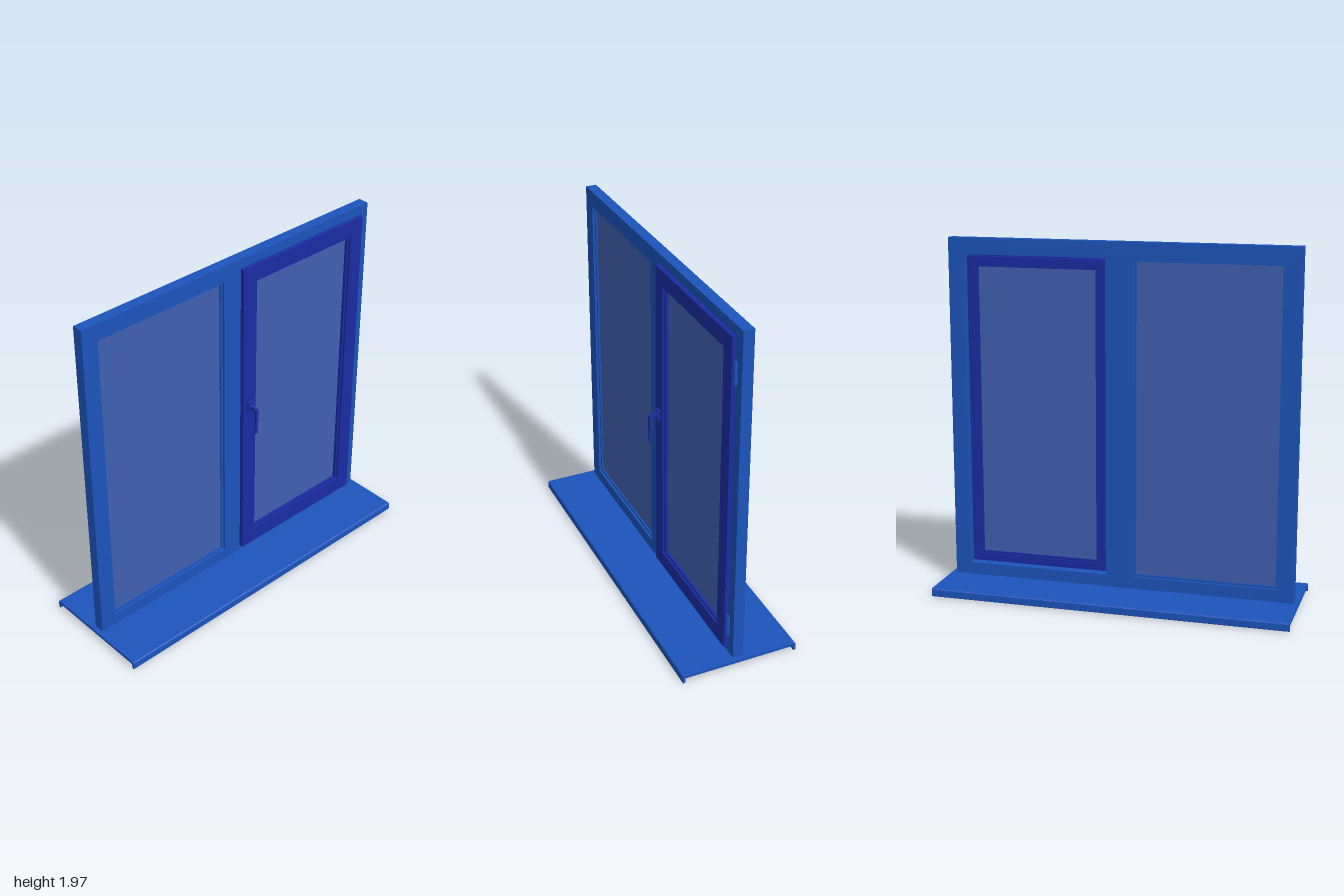
import * as THREE from 'three';

const mat = (color) => new THREE.MeshStandardMaterial({ color });
const blue = mat(0x1c54bc), navy = mat(0x1a2ca2), glassBlue = mat(0x4060b0);

function add(parent, name, geometry, material, x = 0, y = 0, z = 0) {
  const mesh = new THREE.Mesh(geometry, material);
  mesh.name = name;
  mesh.position.set(x, y, z);
  parent.add(mesh);
  return mesh;
}

// Corners of a rectangle [u0, y0, u1, y1], where u runs along -z
const corners = ([u0, y0, u1, y1]) =>
  [[u0, y0], [u1, y0], [u1, y1], [u0, y1]].map(([u, y]) => new THREE.Vector2(u, y));

const inset = ([u0, y0, u1, y1], d) => [u0 + d, y0 + d, u1 - d, y1 - d];

// Upright slab between x0 and x1 with rectangular openings
function slab(outer, holes, x0, x1) {
  const shape = new THREE.Shape(corners(outer));
  holes.forEach((h) => shape.holes.push(new THREE.Path(corners(h).reverse())));
  const g = new THREE.ExtrudeGeometry(shape, { depth: x1 - x0, bevelEnabled: false });
  return g.translate(0, 0, x0).rotateY(Math.PI / 2);
}

export function createModel() {
  const model = new THREE.Group();
  model.name = 'window';

  // Outer frame with a fixed and an opening light
  const fixedHole = [-0.885, 0.115, -0.075, 1.875];
  const sashHole = [0.08, 0.115, 0.885, 1.875];
  add(model, 'frame', slab([-0.973, 0.045, 0.972, 1.965], [fixedHole, sashHole], -0.03, 0.03), blue);

  // Fixed light: glazing bead and pane
  const fixedGlass = inset(fixedHole, 0.014);
  add(model, 'fixedBead', slab(fixedHole, [fixedGlass], -0.015, 0.017), blue);
  add(model, 'fixedGlass', slab(fixedGlass, [], -0.008, 0.008), glassBlue);

  // Opening sash: overlapping face, body within the frame, bead and pane
  const sash = new THREE.Group();
  sash.name = 'sash';
  model.add(sash);
  const sashOpening = [0.13, 0.17, 0.825, 1.82];
  const sashGlass = inset(sashOpening, 0.013);
  add(sash, 'sashFace', slab([0.04, 0.08, 0.911, 1.91], [sashOpening], 0.03, 0.054), navy);
  add(sash, 'sashBody', slab(inset(sashHole, 0.012), [sashOpening], -0.01, 0.03), navy);
  add(sash, 'sashBead', slab(sashOpening, [sashGlass], 0, 0.042), navy);
  add(sash, 'sashGlass', slab(sashGlass, [], 0.01, 0.026), glassBlue);

  // Hinges on the outer edge of the sash
  for (const y of [0.228, 1.722]) {
    const hinge = new THREE.Group();
    hinge.name = 'hinge';
    hinge.position.set(0.038, y, -0.921);
    model.add(hinge);
    add(hinge, 'hingeBarrel', new THREE.CylinderGeometry(0.01, 0.01, 0.115, 16), blue);
    add(hinge, 'hingePin', new THREE.CylinderGeometry(0.006, 0.006, 0.13, 12), blue);
  }

  // Handle: rose, sloping neck and hanging lever
  const handle = new THREE.Group();
  handle.name = 'handle';
  handle.position.z = -0.086;
  sash.add(handle);
  add(handle, 'rose', new THREE.BoxGeometry(0.014, 0.056, 0.034), navy, 0.061, 1.057);
  const side = new THREE.Shape([
    [0.066, 1.072], [0.066, 1.048], [0.105, 1.04], [0.105, 0.9], [0.114, 0.903], [0.115, 1.058],
  ].map(([x, y]) => new THREE.Vector2(x, y)).reverse());
  const lever = new THREE.ExtrudeGeometry(side, { depth: 0.018, bevelEnabled: false });
  add(handle, 'lever', lever.translate(0, 0, -0.009), navy);

  // Inner and outer sills with rounded, turned-down edges
  for (const s of [1, -1]) {
    const p = new THREE.Shape();
    p.moveTo(0, 0.03);
    p.lineTo(0.315, 0.03);
    p.lineTo(0.315, 0.004);
    p.quadraticCurveTo(0.3225, -0.004, 0.33, 0.004);
    p.lineTo(0.33, 0.035);
    p.quadraticCurveTo(0.33, 0.047, 0.318, 0.047);
    p.lineTo(0, 0.047);
    const g = new THREE.ExtrudeGeometry(p, { depth: 2, bevelEnabled: false, curveSegments: 6 });
    g.translate(0, 0, -1);
    if (s < 0) g.rotateY(Math.PI);
    add(model, s > 0 ? 'innerSill' : 'outerSill', g, blue);
  }
  return model;
}
